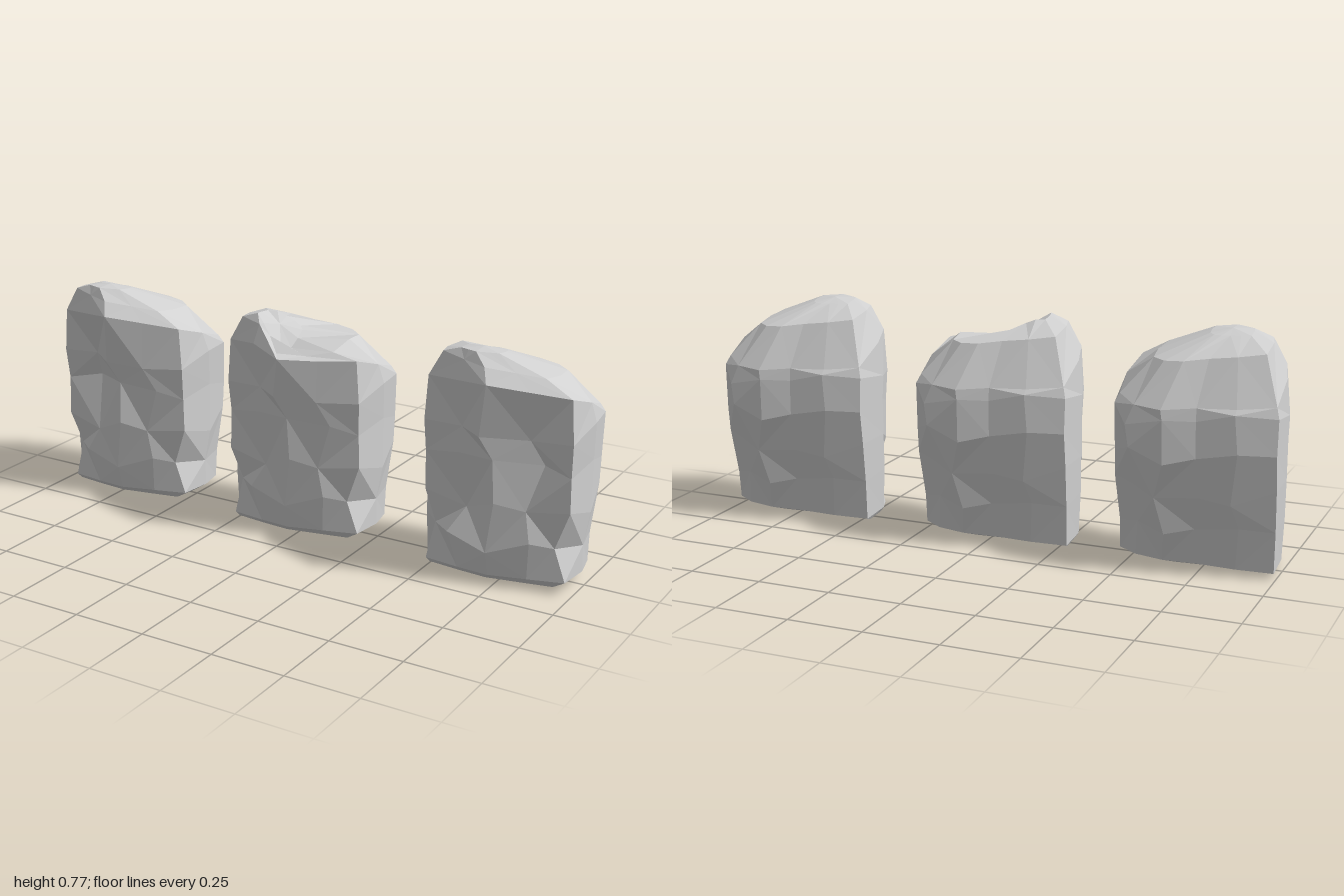
import * as THREE from 'three';

const stone = new THREE.MeshStandardMaterial({ color: 0xd0d0d0, flatShading: true });
stone.name = 'stone grey';

// Plan outline shared by every layer: across, depth (front is +1)
const plan = [
  [0.95, 0.54], [0.5, 0.76], [0.03, 1], [-0.4, 0.82], [-0.87, 0.58], [-0.96, 0.15], [-1, -0.65],
  [-0.55, -0.8], [-0.08, -0.86], [0.33, -1], [0.68, -0.92], [0.93, -0.64], [1, -0.05],
];

// Layers from the foot up: height, forward tilt, x min, x max, z front, z back
const layers = [
  [0.01, 0, -0.255, 0.22, 0.13, -0.08],
  [0.032, 0, -0.268, 0.265, 0.155, -0.145],
  [0.14, 0, -0.272, 0.262, 0.18, -0.17],
  [0.27, 0, -0.275, 0.275, 0.18, -0.2],
  [0.4, 0, -0.275, 0.272, 0.185, -0.22],
  [0.52, 0.015, -0.275, 0.278, 0.2, -0.215],
  [0.615, 0.07, -0.265, 0.265, 0.218, -0.2],
  [0.712, 0.018, -0.21, 0.17, 0.185, -0.115],
  [0.757, 0.008, -0.13, 0.01, 0.155, 0.03],
];
// Layers that rise from left (low, -x) to right, or fall
const slopes = { 0: 0.006, 1: 0.012, 7: -0.02 };

function seeded(seed) {
  return () => {
    seed = (seed * 16807) % 2147483647;
    return seed / 2147483647;
  };
}

// One chipped stone; reshape(v) pushes in its own hollows
function makeStone(name, x, reshape) {
  const rnd = seeded(4711);
  const n = plan.length;
  const rings = layers.map(([y, tilt, x0, x1, zf, zb], k) => plan.map(([u, w]) => {
    const mid = k > 1 && k < 6;
    const edge = Math.abs(u) > 0.8;
    // The front is flatter below the brow, and the front corners pinch above the feet
    const depth = w > 0 && k < 6 ? w ** 0.6 : w;
    const pinch = k === 2 && edge && w > 0.5 ? 0.86 : 1;
    const slide = mid && !edge ? (rnd() - 0.5) * (w > 0 ? 0.3 : 0.12) : 0;
    const chip = mid ? 1.02 - rnd() * 0.09 : 1;
    const lift = mid ? (rnd() - 0.5) * 0.07 : 0;
    const v = new THREE.Vector3(
      (x0 + x1) / 2 + (u + slide) * pinch * (x1 - x0) / 2,
      y + tilt * w + lift + (slopes[k] ?? 0) * u,
      (zf + zb) / 2 + depth * pinch * chip * (zf - zb) / 2
    );
    reshape(v);
    return v;
  }));
  const pos = [];
  const tri = (...pts) => pts.forEach((p) => pos.push(p.x, p.y, p.z));

  // Sides, with alternating diagonals
  for (let k = 0; k < rings.length - 1; k++) {
    for (let i = 0; i < n; i++) {
      const j = (i + 1) % n;
      const a = rings[k][i], b = rings[k][j], c = rings[k + 1][i], d = rings[k + 1][j];
      if ((i + k) % 2) { tri(b, a, c); tri(b, c, d); }
      else { tri(b, a, d); tri(a, c, d); }
    }
  }
  // Underside and crown
  const base = new THREE.Vector3(-0.1, 0, 0.03);
  const crown = new THREE.Vector3(-0.06, 0.766, 0.09);
  reshape(crown);
  const last = rings[rings.length - 1];
  for (let i = 0; i < n; i++) {
    const j = (i + 1) % n;
    tri(base, rings[0][i], rings[0][j]);
    tri(crown, last[j], last[i]);
  }
  const geo = new THREE.BufferGeometry();
  geo.setAttribute('position', new THREE.Float32BufferAttribute(pos, 3));
  geo.computeVertexNormals();
  const mesh = new THREE.Mesh(geo, stone);
  mesh.name = name;
  mesh.position.x = x;
  return mesh;
}

// Push front vertices back around a point
function hollow(v, x, y, rx, ry, depth) {
  if (v.z < 0.05) return;
  const d = Math.hypot((v.x - x) / rx, (v.y - y) / ry);
  if (d < 1) v.z -= depth * (1 - d * d);
}

export function createModel() {
  const group = new THREE.Group();
  group.name = 'stones';

  group.add(makeStone('hollowedStone', -0.725, (v) => {
    hollow(v, -0.09, 0.41, 0.14, 0.15, 0.06);
  }));

  // Middle stone has a broken crown, lower towards its left front
  group.add(makeStone('brokenStone', -0.022, (v) => {
    const { clamp, smoothstep } = THREE.MathUtils;
    const front = 0.06 * smoothstep(v.x, -0.13, 0) * smoothstep(v.z, 0.04, 0.17);
    v.y = Math.min(v.y, clamp(0.77 - (v.x + 0.13) * 0.5, 0.705, 0.77) - front);
    hollow(v, -0.03, 0.2, 0.15, 0.1, 0.015);
  }));

  group.add(makeStone('groovedStone', 0.725, (v) => {
    hollow(v, 0.13, 0.42, 0.1, 0.18, 0.045);
    hollow(v, -0.13, 0.27, 0.13, 0.1, 0.035);
  }));
  return group;
}
